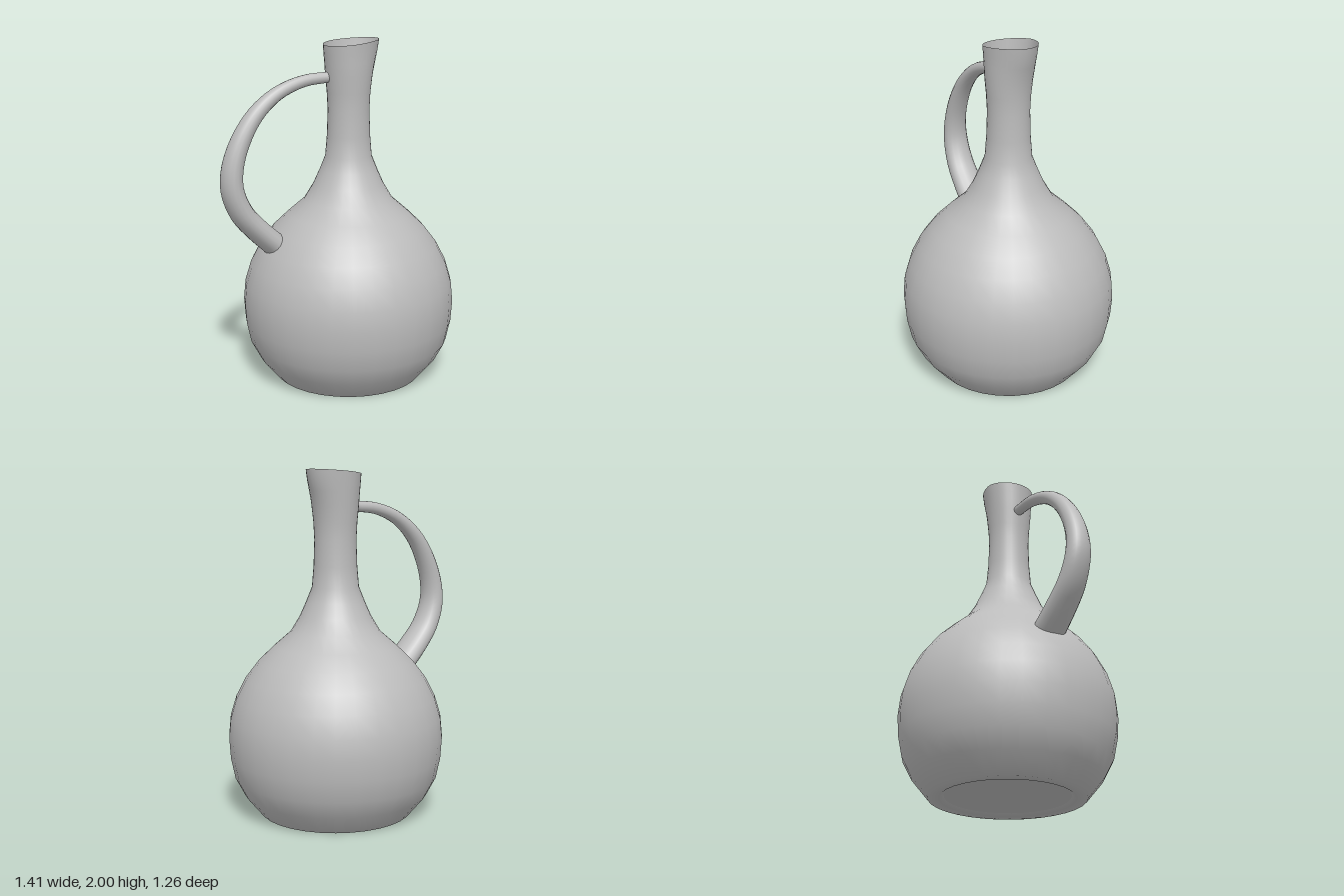
import * as THREE from 'three';
import { mergeVertices } from 'three/addons/utils/BufferGeometryUtils.js';

const AXIS_X = 0.075; // the vessel stands off centre, balanced by its handle

const clay = new THREE.MeshStandardMaterial({ color: 0xbcbcbc, side: THREE.DoubleSide });
clay.name = 'grey clay';

// weld the seam so the shading stays smooth all the way round
function smooth(geometry) {
  geometry.deleteAttribute('normal');
  geometry.deleteAttribute('uv');
  const welded = mergeVertices(geometry, 1e-4);
  welded.computeVertexNormals();
  return welded;
}

function addPart(group, name, geometry) {
  const mesh = new THREE.Mesh(geometry, clay);
  mesh.name = name;
  group.add(mesh);
  return mesh;
}

// foot ring, round belly, shoulder and neck in one thin shell
function vesselGeometry() {
  const profile = [
    [0.355, 0.015], [0.38, 0], [0.445, 0], [0.54, 0.115], [0.595, 0.22], [0.62, 0.34],
    [0.628, 0.46], [0.617, 0.575], [0.582, 0.69], [0.525, 0.8], [0.448, 0.9],
    [0.36, 0.985], [0.262, 1.07], [0.208, 1.16], [0.17, 1.245], [0.136, 1.33],
    [0.126, 1.45], [0.121, 1.6], [0.126, 1.7], [0.135, 1.8], [0.139, 1.87],
    [0.143, 1.93], [0.147, 1.985],
  ].map(([r, y]) => new THREE.Vector2(r, y));
  const geometry = new THREE.LatheGeometry(profile, 32);

  // pull the mouth out into a pouring lip on +x and tilt the rim
  const p = geometry.attributes.position;
  for (let i = 0; i < p.count; i++) {
    const x = p.getX(i), y = p.getY(i), z = p.getZ(i);
    const t = THREE.MathUtils.smoothstep(y, 1.75, 1.985);
    const c = x / Math.hypot(x, z);
    const lip = 0.048 * t * Math.max(0, c) ** 2;
    p.setXYZ(i, x + lip, y + 0.015 * t * c, z - 0.008 * t * (1 - Math.abs(c)));
  }
  return smooth(geometry);
}

// oval tube that widens from the neck down to the belly
function handleGeometry() {
  // centre x, y, z, then half thickness and half width
  const stations = [
    [-0.04, 1.79, -0.03, 0.031, 0.03],
    [-0.2, 1.775, -0.06, 0.034, 0.034],
    [-0.36, 1.715, -0.084, 0.039, 0.042],
    [-0.49, 1.61, -0.102, 0.047, 0.052],
    [-0.585, 1.47, -0.113, 0.055, 0.061],
    [-0.638, 1.32, -0.12, 0.06, 0.07],
    [-0.641, 1.19, -0.123, 0.063, 0.079],
    [-0.585, 1.05, -0.118, 0.065, 0.088],
    [-0.49, 0.94, -0.11, 0.067, 0.095],
    [-0.385, 0.842, -0.1, 0.069, 0.1],
  ];
  const path = new THREE.CatmullRomCurve3(stations.map(([x, y, z]) => new THREE.Vector3(x, y, z)));
  const rings = 36, sides = 16;
  const positions = [], index = [];
  for (let i = 0; i <= rings; i++) {
    const t = i / rings;
    const f = t * (stations.length - 1);
    const k = Math.min(Math.floor(f), stations.length - 2);
    const half = (n) => THREE.MathUtils.lerp(stations[k][n], stations[k + 1][n], f - k);
    const centre = path.getPoint(t);
    const tangent = path.getTangent(t);
    const inner = tangent.clone().cross(new THREE.Vector3(0, 0, 1)).normalize();
    const across = inner.clone().cross(tangent).normalize();
    for (let j = 0; j < sides; j++) {
      const a = (j / sides) * Math.PI * 2;
      const v = centre.clone()
        .addScaledVector(inner, Math.cos(a) * half(3))
        .addScaledVector(across, Math.sin(a) * half(4));
      positions.push(v.x, v.y, v.z);
      if (i < rings) {
        const p = i * sides + j, q = i * sides + ((j + 1) % sides);
        index.push(p, p + sides, q, q, p + sides, q + sides);
      }
    }
  }
  const geometry = new THREE.BufferGeometry();
  geometry.setAttribute('position', new THREE.Float32BufferAttribute(positions, 3));
  geometry.setIndex(index);
  // turn the faces outward
  geometry.computeVertexNormals();
  const n = geometry.attributes.normal;
  const first = path.getTangent(0).cross(new THREE.Vector3(0, 0, 1));
  if (new THREE.Vector3(n.getX(0), n.getY(0), n.getZ(0)).dot(first) < 0) {
    geometry.setIndex(index.reverse());
    geometry.computeVertexNormals();
  }
  return geometry;
}

export function createModel() {
  const model = new THREE.Group();
  model.name = 'jug';

  addPart(model, 'vessel', vesselGeometry()).position.x = AXIS_X;

  // flat floor inside the foot ring, facing up
  const floor = addPart(model, 'floor', new THREE.CircleGeometry(0.355, 32));
  floor.rotation.x = -Math.PI / 2;
  floor.position.set(AXIS_X, 0.015, 0);

  addPart(model, 'handle', handleGeometry());
  return model;
}
